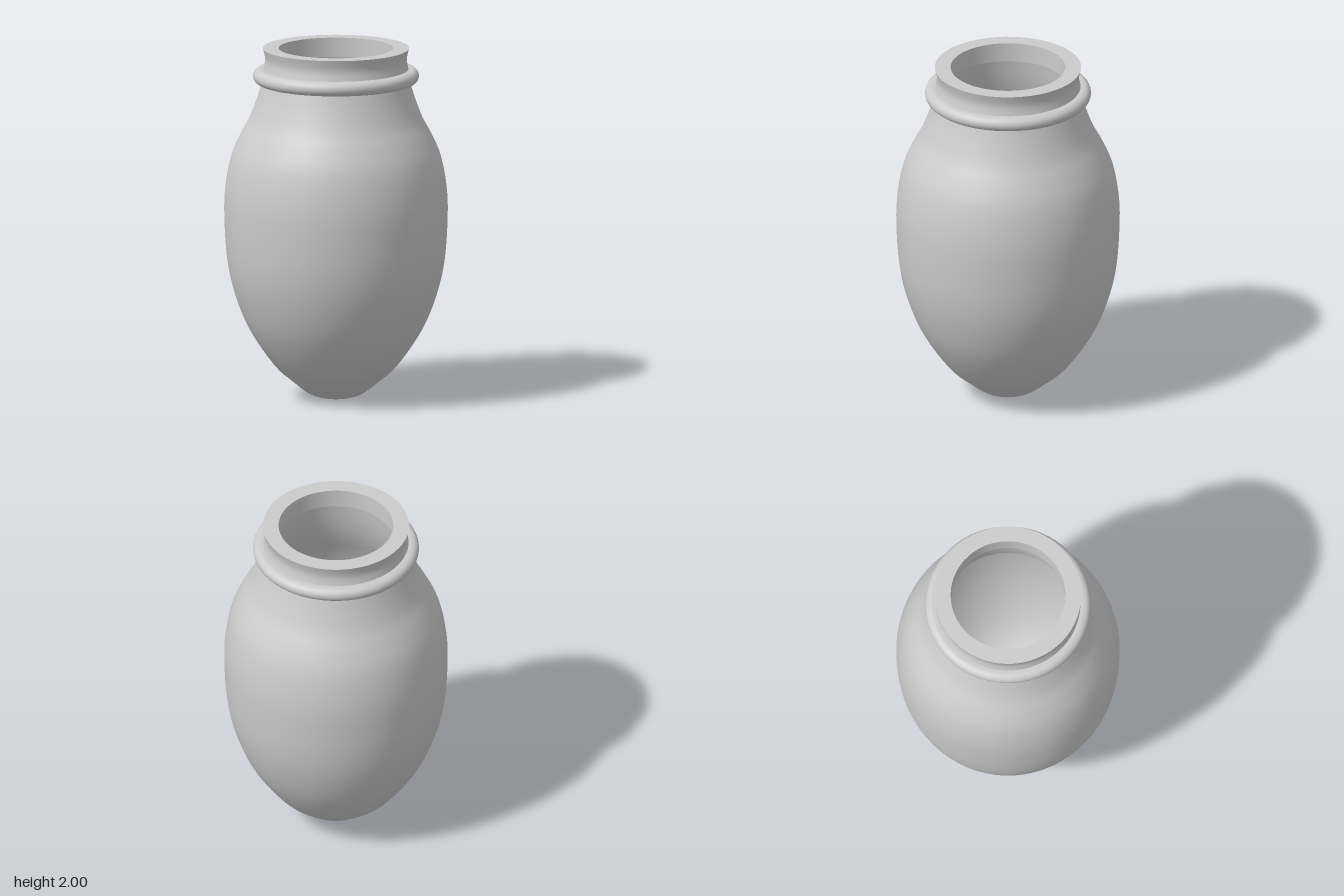
import * as THREE from 'three';

const material = new THREE.MeshStandardMaterial({ color: 0xcccccc, side: THREE.DoubleSide });
const SEGMENTS = 64;

const toPoints = (pairs) => pairs.map(([r, y]) => new THREE.Vector2(r, y));

// Smooth profile through [radius, height] pairs; the ends stay on the given points
function smooth(pairs, steps) {
  const pts = new THREE.SplineCurve(toPoints(pairs)).getPoints(steps);
  pts.forEach((p) => { p.x = Math.max(p.x, 0); });
  return pts;
}

function turned(name, profile) {
  const mesh = new THREE.Mesh(new THREE.LatheGeometry(profile, SEGMENTS), material);
  mesh.name = name;
  return mesh;
}

export function createModel() {
  const jar = new THREE.Group();
  jar.name = 'jar';

  // Egg-shaped outer wall, from the rounded tip up to the collar
  jar.add(turned('body', smooth([
    [0, 0], [0.08, 0.01], [0.155, 0.035], [0.24, 0.1], [0.35, 0.2], [0.485, 0.4],
    [0.567, 0.6], [0.611, 0.8], [0.627, 1.05], [0.62, 1.22], [0.59, 1.38],
    [0.54, 1.5], [0.487, 1.6], [0.445, 1.71], [0.415, 1.81],
  ], 56)));

  // Half-round bead with flat shoulders above and below
  const bead = [];
  for (let i = 0; i <= 12; i++) {
    const a = -Math.PI / 2 + (Math.PI * i) / 12;
    bead.push(new THREE.Vector2(0.426 + 0.04 * Math.cos(a), 1.842 + 0.04 * Math.sin(a)));
  }
  jar.add(turned('collarBead', bead));
  jar.add(turned('beadUnderside', toPoints([[0.4, 1.802], [0.426, 1.802]])));
  jar.add(turned('beadTop', toPoints([[0.426, 1.882], [0.39, 1.882]])));

  // Slightly waisted neck and flat lip
  jar.add(turned('neck', smooth([[0.408, 1.88], [0.399, 1.92], [0.4, 1.955], [0.411, 2]], 8)));
  jar.add(turned('lip', toPoints([[0.411, 2], [0.322, 2]])));

  // Straight mouth that opens into the hollow
  jar.add(turned('mouth', toPoints([[0.322, 2], [0.322, 1.89]])));
  jar.add(turned('cavity', smooth([
    [0.322, 1.89], [0.35, 1.75], [0.4, 1.6], [0.47, 1.45], [0.525, 1.28], [0.535, 1.05],
    [0.52, 0.82], [0.475, 0.6], [0.41, 0.42], [0.32, 0.29], [0.16, 0.17], [0, 0.09],
  ], 40)));

  return jar;
}
